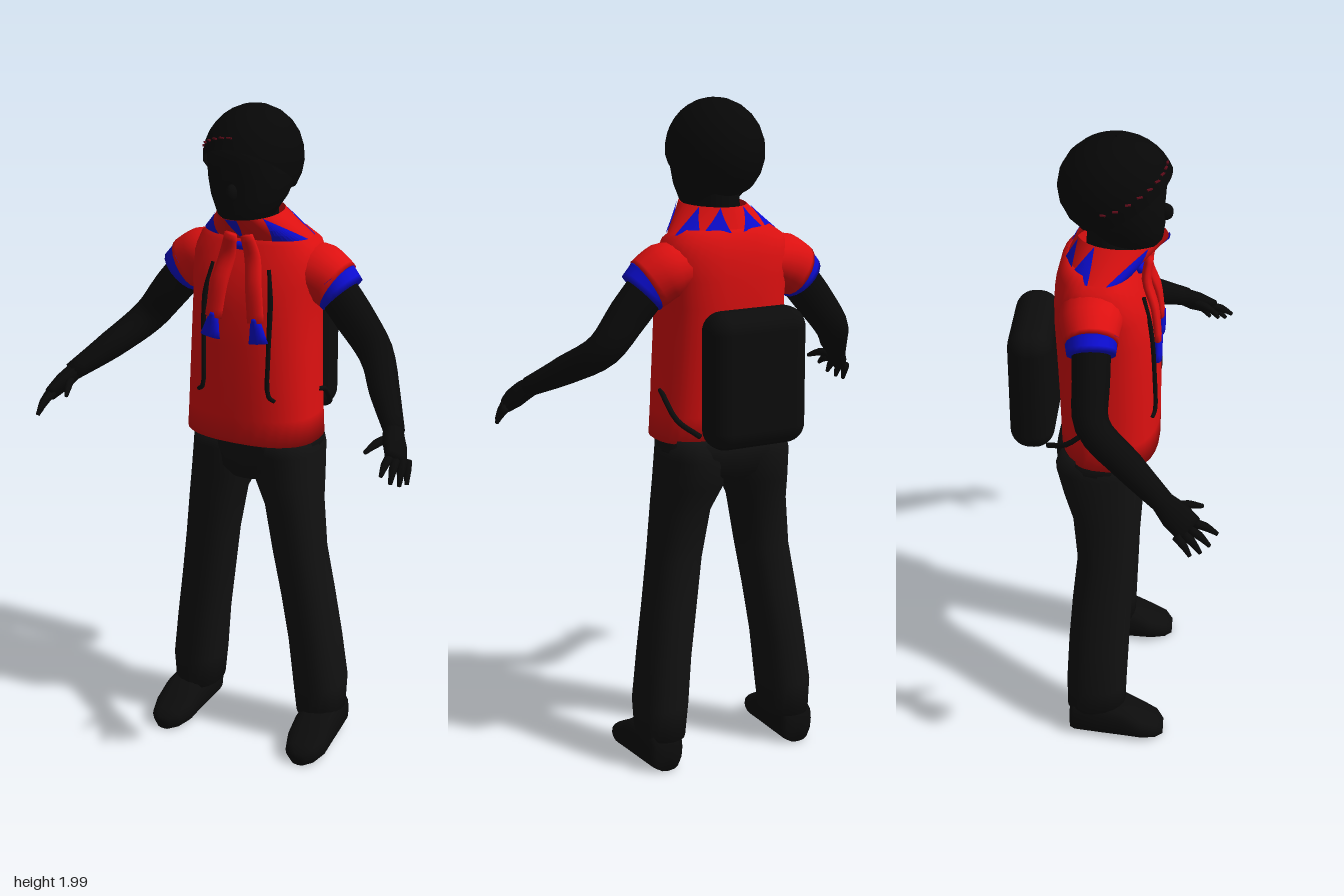
import * as THREE from 'three';
import { RoundedBoxGeometry } from 'three/addons/geometries/RoundedBoxGeometry.js';

const V = (x, y, z) => new THREE.Vector3(x, y, z);
const paint = (name, color, side = THREE.FrontSide) => {
  const m = new THREE.MeshStandardMaterial({ color, side });
  m.name = name;
  return m;
};

// Joins rings of points into one smooth skin; rings advance along u x v
function skin(rings, caps = true) {
  const n = rings[0].length, pos = [], idx = [];
  rings.forEach(r => r.forEach(p => pos.push(p.x, p.y, p.z)));
  for (let i = 0; i < rings.length - 1; i++) {
    for (let j = 0; j < n; j++) {
      const k = (j + 1) % n, a = i * n + j, b = i * n + k, c = b + n, d = a + n;
      idx.push(a, b, c, a, c, d);
    }
  }
  if (caps) {
    [0, rings.length - 1].forEach((i, top) => {
      const m = V(0, 0, 0);
      rings[i].forEach(p => m.addScaledVector(p, 1 / n));
      const c = pos.length / 3;
      pos.push(m.x, m.y, m.z);
      for (let j = 0; j < n; j++) {
        const a = i * n + j, b = i * n + (j + 1) % n;
        top ? idx.push(c, a, b) : idx.push(c, b, a);
      }
    });
  }
  const g = new THREE.BufferGeometry();
  g.setAttribute('position', new THREE.Float32BufferAttribute(pos, 3));
  g.setIndex(idx);
  g.computeVertexNormals();
  return g;
}

// Ring around c with axes u and v; e > 2 makes it squarer
function ring(c, u, v, n, e = 2) {
  return Array.from({ length: n }, (_, j) => {
    const a = j / n * Math.PI * 2, cs = Math.cos(a), sn = Math.sin(a);
    const f = w => Math.sign(w) * Math.abs(w) ** (2 / e);
    return c.clone().addScaledVector(u, f(cs)).addScaledVector(v, f(sn));
  });
}

// Horizontal sections from bottom to top: [y, centreX, halfWidth, zFront, zBack]
const stack = (rows, n = 24, e = 2) => skin(rows.map(([y, cx, rx, zf, zb]) =>
  ring(V(cx, y, (zf + zb) / 2), V(0, 0, (zf - zb) / 2), V(rx, 0, 0), n, e)));

// Limb along points with [ru, rv] radii at each point
function limb(points, radii, n = 14, steps = 4, ref = V(0, 0, 1)) {
  const curve = new THREE.CatmullRomCurve3(points), rings = [], N = (points.length - 1) * steps;
  for (let i = 0; i <= N; i++) {
    const k = Math.min(Math.floor(i / steps), points.length - 2), f = i / steps - k;
    const t = curve.getTangent(i / N);
    const u = ref.clone().cross(t).normalize(), v = t.clone().cross(u);
    const r = m => THREE.MathUtils.lerp(radii[k][m], radii[k + 1][m], f);
    rings.push(ring(curve.getPoint(i / N), u.multiplyScalar(r(0)), v.multiplyScalar(r(1)), n));
  }
  return skin(rings);
}

const TORSO = [
  [1.02, 0, .208, .12, -.17], [1.1, 0, .203, .12, -.172], [1.2, 0, .198, .12, -.175],
  [1.32, 0, .193, .117, -.18], [1.42, 0, .19, .112, -.185], [1.5, 0, .195, .098, -.185],
  [1.56, 0, .2, .072, -.18], [1.61, 0, .182, .048, -.167], [1.64, 0, .14, .03, -.145],
];

// Depth of the shirt front at x, y
function shirtZ(x, y) {
  let i = 0;
  while (i < TORSO.length - 2 && TORSO[i + 1][0] < y) i++;
  const a = TORSO[i], b = TORSO[i + 1], f = (y - a[0]) / (b[0] - a[0]);
  const [, , rx, zf, zb] = a.map((w, k) => w + (b[k] - w) * f);
  return (zf + zb) / 2 + (zf - zb) / 2 * (1 - Math.abs(x / rx) ** 2.5) ** (1 / 2.5);
}

// Point on the flared collar: angle from front, t from base to rim
function collar(a, t, o = 0) {
  const L = THREE.MathUtils.lerp, rx = L(.165, .09, t) + o;
  const zf = L(.055, .135, t) + o, zb = L(-.15, -.12, t) - o;
  return V(Math.sin(a) * rx, L(1.625, 1.7, t), (zf + zb) / 2 + Math.cos(a) * (zf - zb) / 2);
}

// Point on the hair dome: angle from front, t from crown to hemline
function hair(a, t, o = 0) {
  const c = Math.cos(a), hem = 1.79 + (c > 0 ? .11 : .06) * c;
  const th = t * Math.acos((hem - 1.85) / .15), s = Math.sin(th);
  return V(Math.sin(a) * s * (.14 + o), 1.85 + Math.cos(th) * .15, -.01 + c * s * (.163 + o));
}

export function createModel() {
  const model = new THREE.Group();
  const skinMat = paint('dark skin', 0x090909), hairMat = paint('black hair', 0x070707, THREE.DoubleSide);
  const cloth = paint('black trousers', 0x111111), gear = paint('black gear', 0x0c0c0c);
  const red = paint('red shirt', 0xdc1010), redOpen = paint('red collar', 0xdc1010, THREE.DoubleSide);
  const blue = paint('blue trim', 0x0c0cd0, THREE.DoubleSide), maroon = paint('dark red', 0x5c0a18);
  const add = (name, geo, mat) => {
    const m = new THREE.Mesh(geo, mat);
    m.name = name;
    model.add(m);
    return m;
  };

  // Head, neck, nose and hair
  add('neck', new THREE.CylinderGeometry(.06, .07, .16, 16).translate(0, 1.66, -.03), skinMat);
  add('head', stack([[1.675, 0, .045, .1, .01], [1.7, 0, .08, .12, -.05], [1.75, 0, .107, .126, -.1],
    [1.8, 0, .122, .124, -.125], [1.86, 0, .126, .128, -.14], [1.92, 0, .11, .115, -.125]], 24, 2.2), skinMat);
  add('nose', new THREE.SphereGeometry(1, 10, 8).scale(.016, .025, .022).translate(0, 1.775, .126), skinMat);
  const domeRings = [];
  for (let i = 8; i >= 0; i--) {
    domeRings.push(Array.from({ length: 28 }, (_, j) => hair(j / 28 * Math.PI * 2, Math.max(i / 8, .01))));
  }
  add('hair', skin(domeRings, false), hairMat);
  for (let i = 0; i < 9; i++) {
    const a = -.05 - i * .21, p = hair(a, .82, .001);
    const dash = add('headbandDash', new THREE.BoxGeometry(.016, .004, .006), maroon);
    dash.position.copy(p);
    dash.rotation.y = a;
  }

  // Shirt body and collar with blue triangles
  add('shirt', stack(TORSO, 32, 2.5), red);
  add('collar', skin([0, .5, 1].map(t =>
    Array.from({ length: 32 }, (_, j) => collar(j / 32 * Math.PI * 2, t))), false), redOpen);
  [[.95, .42, 0], [-.95, .42, 0], [2.15, .3, 0], [-2.15, .3, 0], [2.75, .3, 0], [-2.75, .3, 0], [0, .2, 1]]
    .forEach(([a, half, down]) => {
      const pos = [], at = (i, t) => collar(a + i / 4 * half * (down ? t : 1 - t), t, .004);
      for (let i = -4; i < 4; i++) {
        for (let k = 0; k < 4; k++) {
          const [p, q, r, s] = [at(i, k / 4), at(i + 1, k / 4), at(i + 1, (k + 1) / 4), at(i, (k + 1) / 4)];
          [p, q, r, p, r, s].forEach(w => pos.push(w.x, w.y, w.z));
        }
      }
      const g = new THREE.BufferGeometry();
      g.setAttribute('position', new THREE.Float32BufferAttribute(pos, 3));
      g.computeVertexNormals();
      add('collarTriangle', g, blue);
    });
  add('throatTrim', limb([V(-.035, 1.605, .058), V(.035, 1.605, .058)], [[.012, .01], [.012, .01]], 8), blue);

  // Trouser seat and backpack
  add('trouserSeat', stack([[.885, 0, .07, .06, -.13], [.92, 0, .16, .075, -.165],
    [.98, 0, .198, .08, -.188], [1.02, 0, .197, .083, -.18], [1.06, 0, .18, .08, -.15]], 28, 2.5), cloth);
  add('backpack', new RoundedBoxGeometry(.31, .4, .13, 5, .058).translate(0, 1.23, -.25), gear);

  for (const s of [1, -1]) {
    const side = s > 0 ? 'left' : 'right', P = (x, y, z) => V(s * x, y, z);

    // Sleeve with blue cuff
    add(side + 'Sleeve', limb([P(.12, 1.535, -.065), P(.19, 1.52, -.065), P(.245, 1.487, -.06)],
      [[.07, .09], [.085, .088], [.08, .074]], 18), red);
    add(side + 'Cuff', limb([P(.228, 1.498, -.061), P(.262, 1.464, -.058)], [[.079, .077], [.073, .068]], 18), blue);

    // Arm, palm and fingers
    add(side + 'Arm', limb([P(.22, 1.5, -.06), P(.3, 1.405, -.055), P(.375, 1.31, -.045), P(.45, 1.235, .06),
      P(.525, 1.17, .165)], [[.062, .056], [.06, .053], [.052, .05], [.043, .045], [.028, .032]]), skinMat);
    add(side + 'Palm', limb([P(.515, 1.178, .15), P(.54, 1.145, .195), P(.562, 1.115, .235)],
      [[.026, .03], [.026, .043], [.018, .042]], 12), skinMat);
    [[.582, 1.105, .2, .598, 1.052, .24], [.575, 1.11, .22, .587, 1.055, .268],
      [.56, 1.115, .235, .57, 1.068, .292], [.545, 1.125, .245, .55, 1.095, .312],
      [.515, 1.155, .19, .482, 1.135, .268]].forEach(([x, y, z, X, Y, Z], i) => add(
      side + (i < 4 ? 'Finger' : 'Thumb'),
      limb([P(x, y, z), P((x + X) / 2, (y + Y) / 2 + .006, (z + Z) / 2), P(X, Y, Z)],
        [[.013, .013], [.012, .012], [.006, .006]], 8, 3, V(1, 0, 0)), skinMat));

    // Trouser leg: [y, inner x, outer x, front z, back z]
    add(side + 'TrouserLeg', stack([[.1, .145, .285, .035, -.15], [.2, .132, .292, .038, -.15],
      [.35, .118, .272, .044, -.143], [.5, .095, .25, .05, -.132], [.65, .07, .228, .06, -.117],
      [.8, .045, .212, .07, -.132], [.88, .008, .207, .075, -.16], [.97, 0, .2, .078, -.183],
      [1.03, 0, .193, .078, -.165]].map(([y, a, b, f, k]) => [y, s * (a + b) / 2, (b - a) / 2, f, k]), 20, 2.3), cloth);

    // Shoe from heel to toe: [z, half width, height]
    add(side + 'Shoe', skin([[-.14, .04, .1], [-.125, .055, .125], [-.05, .062, .13], [.03, .066, .118],
      [.09, .066, .08], [.135, .052, .06], [.157, .025, .04]].map(([z, w, h]) =>
      ring(P(.225 + (z + .14) * .04, h / 2 + .005, z), V(w, 0, 0), V(0, h / 2, 0), 16, 2.8))), gear);

    // Hanging scarf end with blue tip
    const q = (x, y, o = .006) => P(x, y, shirtZ(x, y) + o);
    add(side + 'ScarfEnd', limb([P(.025, 1.645, .085), q(.04, 1.58, .016), q(.055, 1.5), q(.068, 1.4)],
      [[.02, .012], [.026, .014], [.027, .013], [.027, .011]], 12), red);
    add(side + 'ScarfTip', limb([q(.066, 1.415), q(.078, 1.34)], [[.008, .014], [.032, .011]], 12), blue);

    // Backpack straps
    add(side + 'FrontStrap', limb([q(.09, 1.55, .003), q(.105, 1.46, .003), q(.105, 1.3, .003), q(.108, 1.18, .003),
      q(.125, 1.165, .003)], [[.005, .007], [.009, .007], [.007, .007], [.007, .007], [.006, .006]], 8), gear);
    add(side + 'LowerStrap', limb([P(.198, 1.17, -.045), P(.202, 1.16, -.075), P(.19, 1.1, -.14), P(.145, 1.06, -.2)],
      [[.007, .007], [.008, .008], [.008, .008], [.008, .008]], 8, 4, V(1, 0, 0)), gear);
  }
  return model;
}
